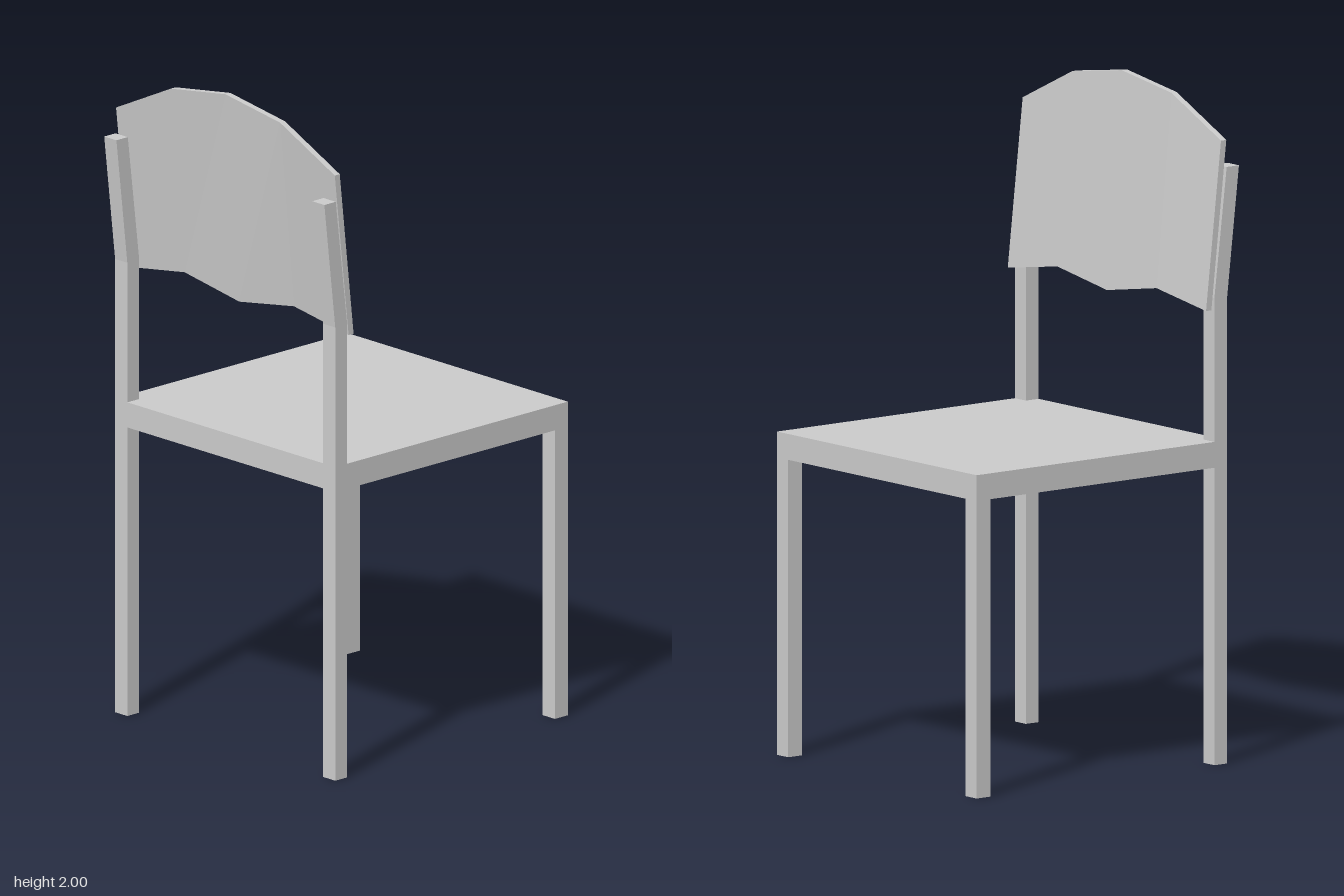
import * as THREE from 'three';

const material = new THREE.MeshStandardMaterial({ color: 0xcccccc, flatShading: true });

const HALF = 0.468;              // half width of the frame
const LEG = 0.052;               // leg width
const SEAT_TOP = 0.962;
const SEAT_BOTTOM = 0.885;
const FRONT = -0.492;            // sitter's side
const POST_IN = 0.4, POST_OUT = 0.448;

function add(group, name, geometry) {
  const mesh = new THREE.Mesh(geometry, material);
  mesh.name = name;
  group.add(mesh);
  return mesh;
}

function shapeFrom(points) {
  return new THREE.Shape(points.map(([a, b]) => new THREE.Vector2(a, b)));
}

// Square seat slab, notched at the corners where the tall posts pass
function seatGeometry() {
  const inner = HALF - LEG;
  const outline = shapeFrom([
    [-HALF, FRONT], [HALF, FRONT], [HALF, POST_IN], [inner, POST_IN],
    [inner, POST_OUT], [-inner, POST_OUT], [-inner, POST_IN], [-HALF, POST_IN],
  ]);
  return new THREE.ExtrudeGeometry(outline, { depth: SEAT_TOP - SEAT_BOTTOM, bevelEnabled: false })
    .rotateX(Math.PI / 2)
    .translate(0, SEAT_TOP, 0);
}

// Tall post: upright to the bend, then leaning outward
function postGeometry() {
  const profile = shapeFrom([
    [POST_IN, 0], [POST_OUT, 0], [POST_OUT, 1.39],
    [0.492, 1.775], [0.446, 1.775], [POST_IN, 1.39],
  ]);
  return new THREE.ExtrudeGeometry(profile, { depth: LEG, bevelEnabled: false })
    .translate(0, 0, -LEG / 2)
    .rotateY(-Math.PI / 2);
}

// Thin leaning panel with arched top and wavy lower edge
function backrestGeometry() {
  const topY = [2.0, 1.965, 1.855];       // centre to side
  const bottomY = [1.352, 1.39, 1.354];
  const geometry = new THREE.BoxGeometry(0.93, 1, 0.02, 4, 1, 1);
  const pos = geometry.attributes.position;
  for (let i = 0; i < pos.count; i++) {
    const step = Math.round(Math.abs(pos.getX(i)) / 0.2325);
    const isTop = pos.getY(i) > 0;
    pos.setY(i, (isTop ? topY : bottomY)[step]);
    pos.setZ(i, pos.getZ(i) + (isTop ? 0.437 : 0.381));
  }
  geometry.computeVertexNormals();
  return geometry;
}

export function createModel() {
  const chair = new THREE.Group();
  chair.name = 'chair';

  add(chair, 'seat', seatGeometry());
  add(chair, 'backrest', backrestGeometry());

  // Mirrored legs and posts
  for (const [side, label] of [[1, 'left'], [-1, 'right']]) {
    const x = side * (HALF - LEG / 2);
    add(chair, `${label}Post`, postGeometry()).position.x = x;
    add(chair, `${label}Leg`, new THREE.BoxGeometry(LEG, SEAT_BOTTOM, LEG))
      .position.set(x, SEAT_BOTTOM / 2, FRONT + LEG / 2);
  }
  return chair;
}
